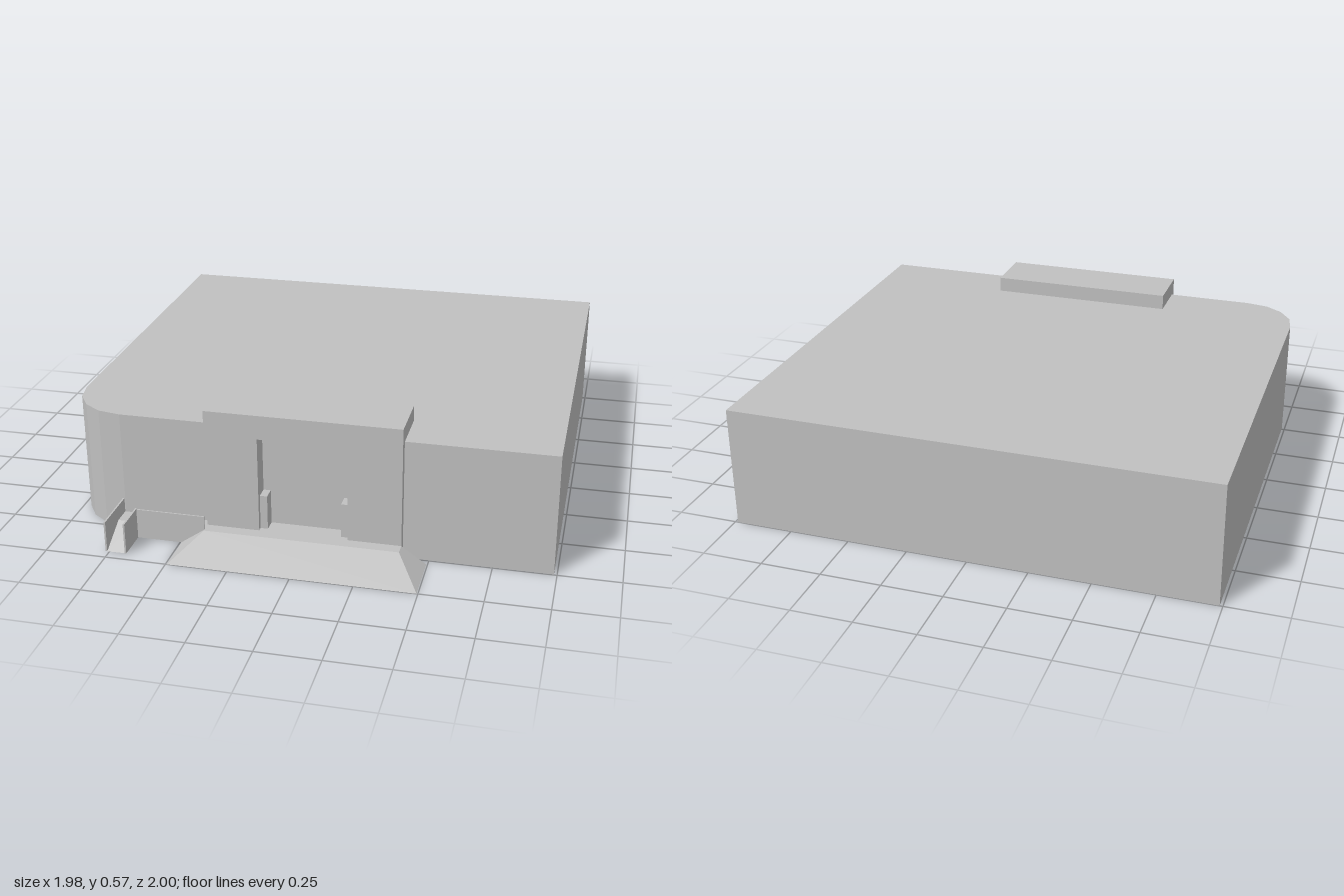
import * as THREE from 'three';
import { ConvexGeometry } from 'three/addons/geometries/ConvexGeometry.js';

export function createModel() {
  const group = new THREE.Group();
  const grey = new THREE.MeshStandardMaterial({ color: 0xc0c0c0 });
  grey.name = 'concreteGrey';

  const add = (name, geometry) => {
    const mesh = new THREE.Mesh(geometry, grey);
    mesh.name = name;
    group.add(mesh);
    return mesh;
  };
  // Box given by its limits on each axis
  const block = (name, x0, x1, y0, y1, z0, z1) =>
    add(name, new THREE.BoxGeometry(x1 - x0, y1 - y0, z1 - z0)
      .translate((x0 + x1) / 2, (y0 + y1) / 2, (z0 + z1) / 2));

  // Main hall: plan outline (x, z) with one faceted round corner and a door recess
  const plan = [
    [-0.988, -1], [-0.988, 0.51], [-0.97, 0.605], [-0.92, 0.68], [-0.85, 0.728], [-0.755, 0.746],
    [-0.18, 0.746], [-0.18, 0.705], [0.18, 0.705], [0.18, 0.746], [0.988, 0.746], [0.988, -1],
  ].map(([x, z]) => new THREE.Vector2(x, -z));
  add('mainHall', new THREE.ExtrudeGeometry(new THREE.Shape(plan), { depth: 0.505, bevelEnabled: false })
    .rotateX(-Math.PI / 2));

  // Entrance portal: jambs and lintel around the doorway
  const portal = new THREE.Shape([
    [-0.395, 0], [-0.18, 0], [-0.18, 0.47], [0.18, 0.47], [0.18, 0], [0.395, 0], [0.395, 0.57], [-0.395, 0.57],
  ].map(([x, y]) => new THREE.Vector2(x, y)));
  add('portal', new THREE.ExtrudeGeometry(portal, { depth: 0.075, bevelEnabled: false })
    .translate(0, 0, 0.705));
  block('portalRoof', -0.395, 0.395, 0.5, 0.57, 0.552, 0.705);
  block('doorFloor', -0.18, 0.18, 0, 0.07, 0.7, 0.785);
  for (const s of [-1, 1]) {
    const x = s * 0.165;
    block('doorPlinth', x - 0.015, x + 0.015, 0.07, 0.215, 0.7, 0.76);
  }

  // Entrance ramp with sloped sides
  add('entranceRamp', new ConvexGeometry([
    [-0.495, 0, 1], [0.495, 0, 1], [-0.495, 0, 0.822], [0.495, 0, 0.78],
    [-0.395, 0, 0.78], [-0.395, 0.07, 0.83], [0.395, 0.07, 0.83],
    [-0.395, 0.07, 0.78], [0.395, 0.07, 0.78],
  ].map((p) => new THREE.Vector3(...p))));

  // Side landing with thin parapets
  block('landing', -0.76, -0.395, 0, 0.07, 0.74, 0.822);
  block('landingParapet', -0.685, -0.395, 0, 0.127, 0.816, 0.822);
  block('outerRampWall', -0.766, -0.759, 0, 0.13, 0.74, 0.955);
  block('innerRampWall', -0.686, -0.679, 0, 0.13, 0.816, 0.955);

  // Short side ramp, open underneath
  const run = 0.133, rise = 0.07;
  add('sideRamp', new THREE.PlaneGeometry(0.075, Math.hypot(run, rise))
    .rotateX(-Math.atan2(run, rise))
    .translate(-0.7225, rise / 2, 0.822 + run / 2));

  return group;
}
